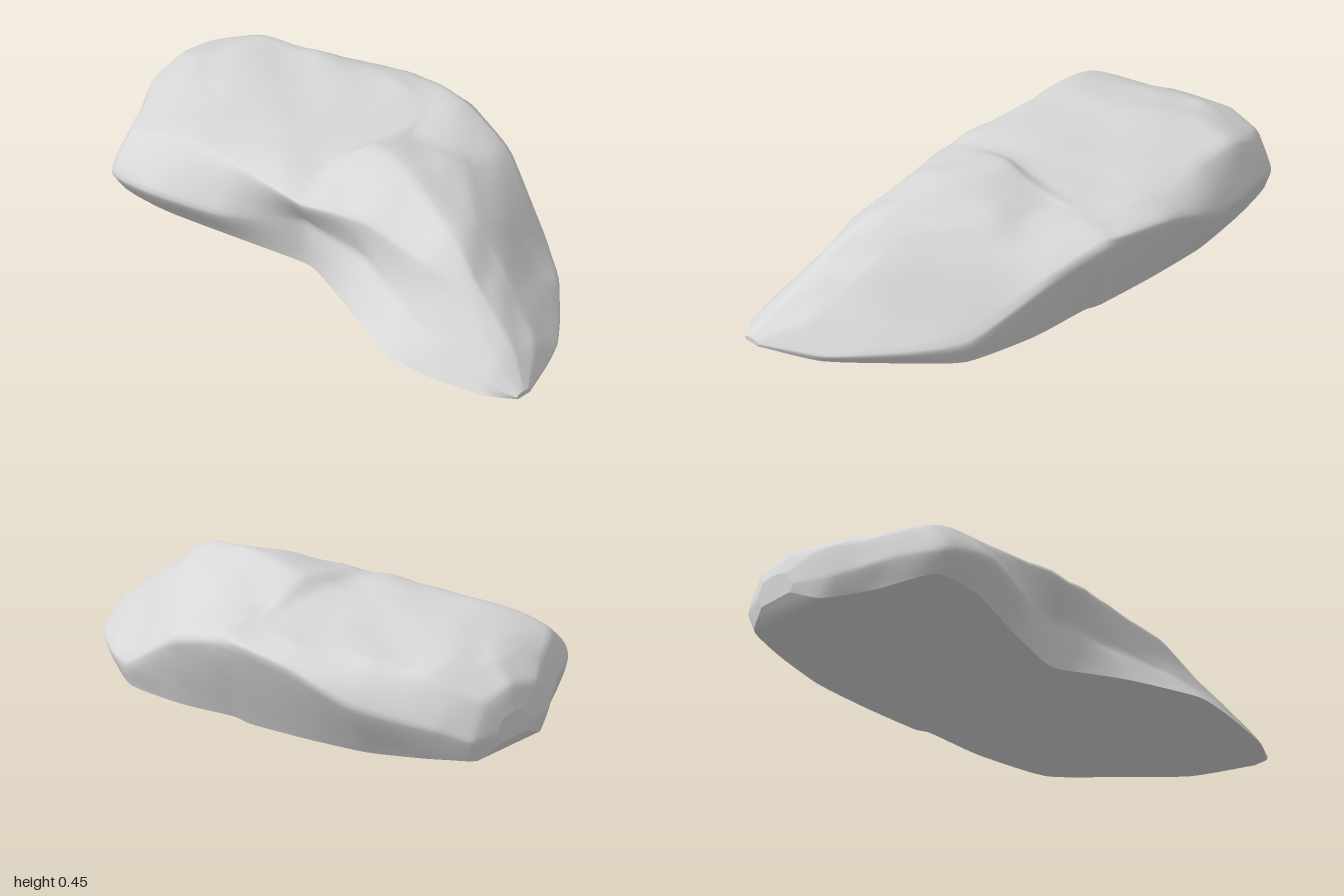
import * as THREE from 'three';

// Foot lines from back to front: z, left x, left y, right x, right y
const FEET = [
  [-1.00, 0.02, 0.11, 0.16, 0.10],
  [-0.96, -0.10, 0.06, 0.24, 0.05],
  [-0.86, -0.26, 0.07, 0.28, 0.04],
  [-0.75, -0.46, 0.10, 0.31, 0.03],
  [-0.55, -0.45, 0.09, 0.35, 0.015],
  [-0.30, -0.36, 0.06, 0.37, 0.01],
  [-0.06, -0.28, 0.04, 0.38, 0.01],
  [0.02, -0.28, 0.04, 0.38, 0.02],
  [0.25, -0.36, 0.05, 0.38, 0.01],
  [0.52, -0.445, 0.04, 0.33, 0.00],
  [0.70, -0.42, 0.025, 0.20, 0.01],
  [0.90, -0.355, 0.015, 0.00, 0.01],
  [1.00, -0.28, 0.01, -0.22, 0.01],
];

// Arches over the feet: x,y of left flank, left rim, crown, right rim, right flank
const ARCHES = [
  [0.00, 0.14, 0.04, 0.19, 0.09, 0.20, 0.15, 0.19, 0.18, 0.14],
  [-0.14, 0.13, -0.08, 0.24, 0.06, 0.28, 0.20, 0.25, 0.27, 0.13],
  [-0.32, 0.17, -0.24, 0.28, 0.03, 0.33, 0.26, 0.29, 0.33, 0.16],
  [-0.51, 0.18, -0.41, 0.31, -0.05, 0.355, 0.28, 0.33, 0.38, 0.18],
  [-0.51, 0.20, -0.37, 0.36, -0.10, 0.375, 0.33, 0.345, 0.46, 0.22],
  [-0.42, 0.19, -0.345, 0.365, -0.10, 0.385, 0.38, 0.36, 0.50, 0.31],
  [-0.28, 0.22, -0.34, 0.355, -0.08, 0.395, 0.34, 0.365, 0.50, 0.34],
  [-0.27, 0.22, -0.33, 0.355, 0.00, 0.44, 0.21, 0.375, 0.50, 0.345],
  [-0.27, 0.21, -0.27, 0.375, -0.05, 0.45, 0.20, 0.385, 0.46, 0.27],
  [-0.33, 0.16, -0.25, 0.33, -0.13, 0.405, 0.02, 0.37, 0.35, 0.10],
  [-0.33, 0.13, -0.23, 0.25, -0.17, 0.29, -0.02, 0.25, 0.225, 0.07],
  [-0.33, 0.05, -0.27, 0.10, -0.20, 0.13, -0.10, 0.11, 0.02, 0.04],
  [-0.285, 0.02, -0.27, 0.028, -0.25, 0.03, -0.23, 0.028, -0.215, 0.02],
];
const ROWS = 60, AROUND = 36;

// Repeatable smooth value noise for the weathered surface
const hash = (x, y, z) => {
  const s = Math.sin(x * 127.1 + y * 311.7 + z * 74.7) * 43758.5453;
  return (s - Math.floor(s)) * 2 - 1;
};
function noise(x, y, z) {
  const c = [x, y, z].map(Math.floor);
  const [u, v, w] = [x - c[0], y - c[1], z - c[2]].map(t => t * t * (3 - 2 * t));
  let sum = 0;
  for (let k = 0; k < 8; k++) {
    const i = k & 1, j = (k >> 1) & 1, l = k >> 2;
    sum += hash(c[0] + i, c[1] + j, c[2] + l) * (i ? u : 1 - u) * (j ? v : 1 - v) * (l ? w : 1 - w);
  }
  return sum;
}

// Ring from the left foot over the crown to the right foot
function ringPoints([z, lx, ly, rx, ry], arch) {
  const pts = [new THREE.Vector3(lx, ly, z)];
  for (let k = 0; k < arch.length; k += 2) pts.push(new THREE.Vector3(arch[k], arch[k + 1], z));
  pts.push(new THREE.Vector3(rx, ry, z));
  return pts;
}

function buildRings() {
  const keys = FEET.map((foot, i) => ringPoints(foot, ARCHES[i]));
  // Lengthwise curves through matching points of all sections
  const rails = keys[0].map((_, k) => new THREE.CatmullRomCurve3(keys.map(r => r[k]), false, 'catmullrom', 0.3));
  const rings = [];
  for (let i = 0; i <= ROWS; i++) {
    const arch = new THREE.CatmullRomCurve3(rails.map(r => r.getPoint(i / ROWS)), false, 'catmullrom', 0.2);
    const ring = [];
    for (let j = 0; j <= AROUND; j++) {
      const p = arch.getPoint(j / AROUND);
      // Dents fade out at the foot and at both ends
      const fade = Math.min(1, Math.sin(Math.PI * j / AROUND) * 2) * Math.min(1, Math.sin(Math.PI * i / ROWS) * 3);
      const d = fade * (0.010 * noise(p.x * 8, p.y * 8, p.z * 5) + 0.007 * noise(p.x * 14 + 9, p.y * 14, p.z * 9));
      const a = Math.PI * (1 - j / AROUND);
      p.x += Math.cos(a) * d;
      p.y = Math.max(0, p.y + Math.sin(a) * d);
      ring.push(p);
    }
    rings.push(ring);
  }
  return rings;
}

function makeGeometry(points, index) {
  const g = new THREE.BufferGeometry().setFromPoints(points);
  g.setIndex(index);
  g.computeVertexNormals();
  return g;
}

export function createModel() {
  const group = new THREE.Group();
  group.name = 'rock';
  const stone = new THREE.MeshStandardMaterial({ color: 0xd8d8d8 });
  stone.name = 'grey stone';
  const add = (name, points, index) => {
    const mesh = new THREE.Mesh(makeGeometry(points, index), stone);
    mesh.name = name;
    group.add(mesh);
  };
  const rings = buildRings();

  // Weathered top and flanks
  const shell = [], W = AROUND + 1;
  for (let i = 0; i < ROWS; i++) {
    for (let j = 0; j < AROUND; j++) {
      const a = i * W + j, b = a + 1, c = a + W, d = c + 1;
      shell.push(a, c, b, b, c, d);
    }
  }
  add('rockBody', rings.flat(), shell);

  // Flat underside between the two foot lines
  const base = [];
  for (let i = 0; i < ROWS; i++) base.push(2 * i, 2 * i + 1, 2 * i + 2, 2 * i + 1, 2 * i + 3, 2 * i + 2);
  add('underside', rings.flatMap(r => [r[0], r[AROUND]]), base);

  // Blunt ends
  [['backEnd', rings[0], false], ['frontTip', rings[ROWS], true]].forEach(([name, ring, flip]) => {
    const centre = ring.reduce((s, p) => s.add(p), new THREE.Vector3()).divideScalar(W);
    const fan = [];
    for (let j = 1; j <= W; j++) {
      const next = j === W ? 1 : j + 1;
      fan.push(0, flip ? next : j, flip ? j : next);
    }
    add(name, [centre, ...ring], fan);
  });
  return group;
}
